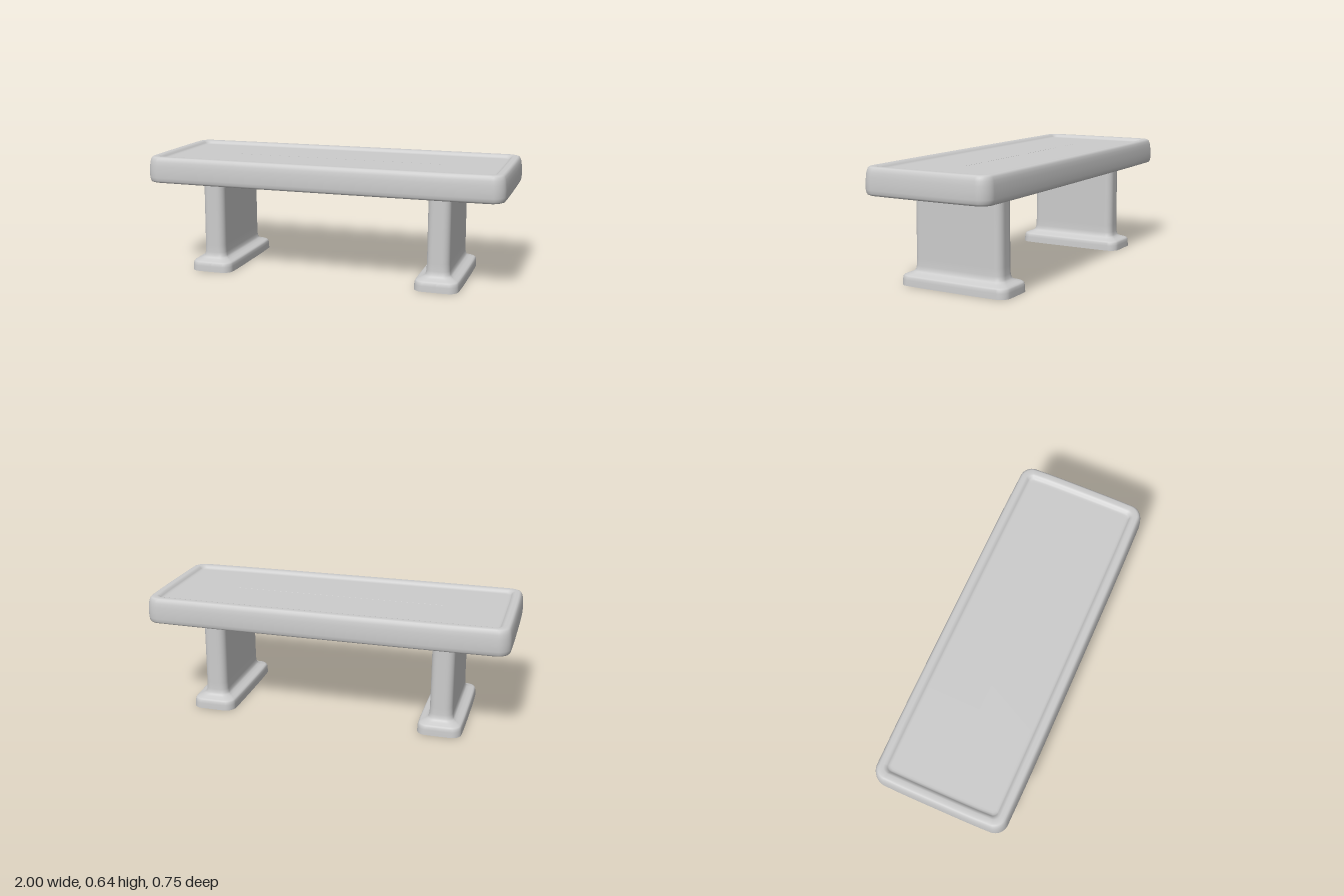
import * as THREE from 'three';

// Points of a rounded rectangle, counter-clockwise from above, with gently bowed sides
function ringPoints(hx, hz, r, y, bow) {
  const arc = 8, side = 8, corners = [];
  const signs = [[1, 1], [-1, 1], [-1, -1], [1, -1]];
  signs.forEach(([sx, sz], c) => {
    for (let i = 0; i <= arc; i++) {
      const a = (c + i / arc) * Math.PI / 2;
      corners.push([sx * (hx - r) + r * Math.cos(a), sz * (hz - r) + r * Math.sin(a)]);
    }
  });
  const pts = [];
  corners.forEach((p, i) => {
    pts.push(p);
    if (i % (arc + 1) !== arc) return;
    const q = corners[(i + 1) % corners.length];
    for (let k = 1; k < side; k++) {
      const t = k / side;
      pts.push([p[0] + (q[0] - p[0]) * t, p[1] + (q[1] - p[1]) * t]);
    }
  });
  return pts.map(([x, z]) => [
    x - Math.sign(x) * bow * (z / hz) ** 4,
    y,
    -(z - Math.sign(z) * bow * (x / hx) ** 4),
  ]);
}

// Skin a stack of rings [halfX, halfZ, cornerRadius, y, bow], listed along the surface
function loft(rings) {
  const pos = [], idx = [];
  const loops = rings.map(([hx, hz, r, y, bow = 0]) => ringPoints(hx, hz, r, y, bow));
  const n = loops[0].length;
  loops.forEach(loop => loop.forEach(p => pos.push(...p)));
  for (let i = 0; i < loops.length - 1; i++) {
    for (let j = 0; j < n; j++) {
      const a = i * n + j, b = i * n + (j + 1) % n;
      idx.push(a, b, b + n, a, b + n, a + n);
    }
  }
  const geo = new THREE.BufferGeometry();
  geo.setAttribute('position', new THREE.Float32BufferAttribute(pos, 3));
  geo.setIndex(idx);
  geo.computeVertexNormals();
  return geo;
}

export function createModel() {
  const group = new THREE.Group();
  const material = new THREE.MeshStandardMaterial({ color: 0xcccccc, side: THREE.DoubleSide });

  // Slab: [inset from the widest outline, y], from the underside panel round to the top panel
  const slab = [
    [0.09, 0.508], [0.074, 0.508], [0.068, 0.507], [0.06, 0.502], [0.045, 0.5], [0.018, 0.5],
    [0.008, 0.504], [0.003, 0.512], [0, 0.53], [0, 0.565], [0.002, 0.595],
    [0.005, 0.618], [0.01, 0.634], [0.016, 0.642], [0.024, 0.645], [0.046, 0.645],
    [0.056, 0.642], [0.063, 0.634], [0.069, 0.629], [0.078, 0.627], [0.09, 0.627],
  ].map(([d, y]) => [1 - d, 0.375 - d, Math.max(0.065 - d * 0.6, 0.012), y, d < 0.03 ? 0.007 : 0.004]);
  const centre = y => [0.6, 0.001, 0.0005, y];
  const top = new THREE.Mesh(loft([centre(0.508), ...slab, centre(0.627)]), material);
  top.name = 'benchTop';
  group.add(top);

  // Leg: hollow column flaring into an open foot
  const legGeometry = loft([
    [0.123, 0.323, 0.045, 0, 0.006],
    [0.122, 0.322, 0.045, 0.03, 0.006],
    [0.12, 0.32, 0.045, 0.045, 0.006],
    [0.116, 0.315, 0.043, 0.052, 0.006],
    [0.108, 0.306, 0.041, 0.056, 0.005],
    [0.088, 0.286, 0.04, 0.063, 0.004],
    [0.073, 0.274, 0.04, 0.071, 0.002],
    [0.066, 0.268, 0.04, 0.081],
    [0.063, 0.265, 0.04, 0.1],
    [0.062, 0.264, 0.04, 0.14],
    [0.061, 0.262, 0.04, 0.5],
    [0.061, 0.262, 0.04, 0.512],
  ]);
  for (const side of [1, -1]) {
    const leg = new THREE.Mesh(legGeometry, material);
    leg.name = side > 0 ? 'leftLeg' : 'rightLeg';
    leg.position.x = side * 0.643;
    group.add(leg);
  }
  return group;
}
